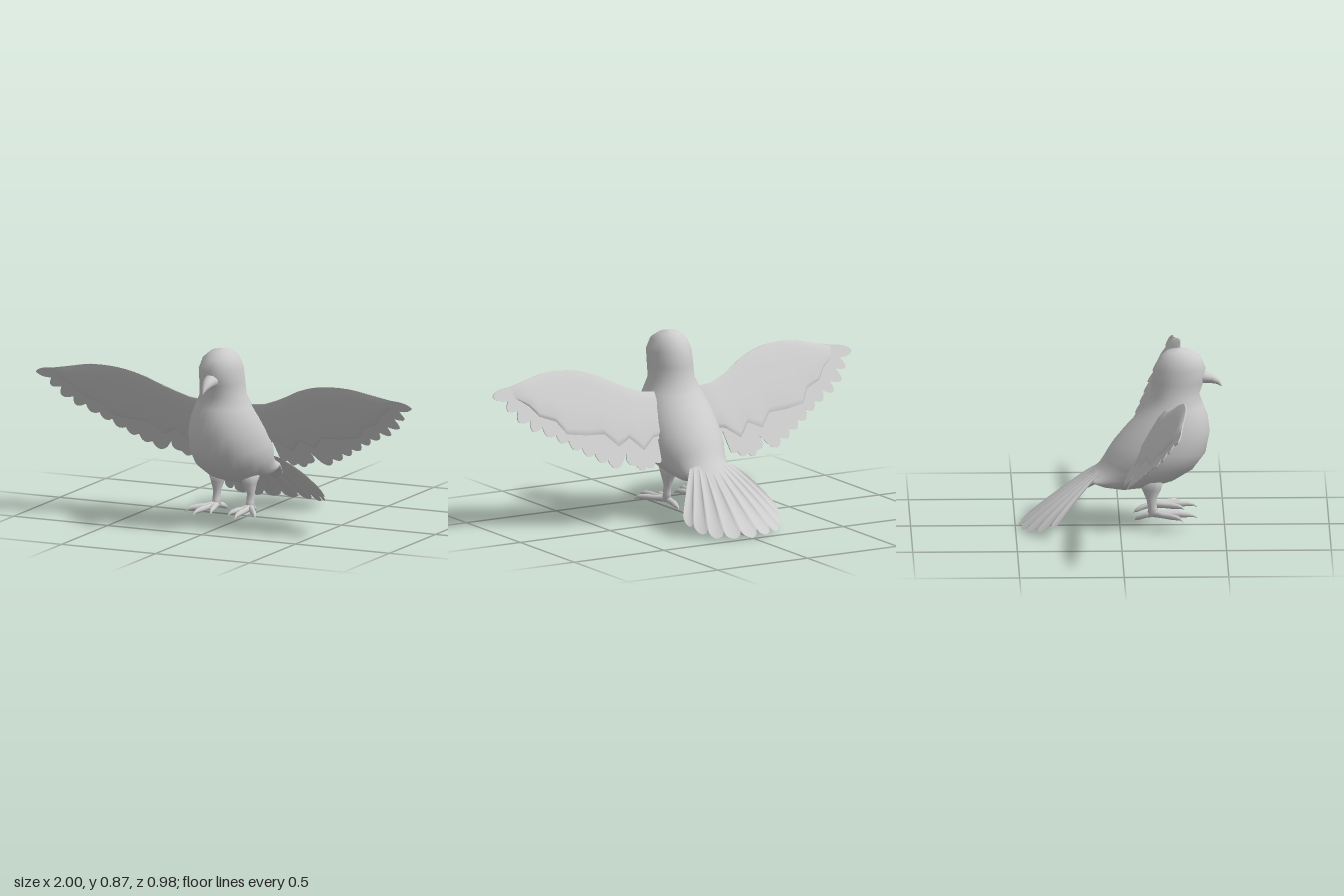
import * as THREE from 'three';

const plumage = new THREE.MeshStandardMaterial({ color: 0xcccccc, side: THREE.DoubleSide });
plumage.name = 'plain grey';

// Skin closed rings of [x, y, z] points, with a fan over each end
function loft(rings) {
  const n = rings[0].length, pos = rings.flat(2), index = [];
  for (let i = 0; i < rings.length - 1; i++) {
    for (let j = 0; j < n; j++) {
      const a = i * n + j, b = i * n + (j + 1) % n;
      index.push(a, b, a + n, b, b + n, a + n);
    }
  }
  [0, rings.length - 1].forEach((r, end) => {
    const c = pos.length / 3;
    for (let k = 0; k < 3; k++) pos.push(rings[r].reduce((s, p) => s + p[k], 0) / n);
    for (let j = 0; j < n; j++) {
      const a = r * n + j, b = r * n + (j + 1) % n;
      index.push(...(end ? [a, b, c] : [b, a, c]));
    }
  });
  // turn the faces outward if the rings run the other way
  const v = i => new THREE.Vector3().fromArray(pos, i * 3);
  let volume = 0;
  for (let i = 0; i < index.length; i += 3) volume += v(index[i]).dot(v(index[i + 1]).cross(v(index[i + 2])));
  if (volume < 0) index.reverse();
  return indexed(pos, index);
}

function indexed(pos, index) {
  const g = new THREE.BufferGeometry();
  g.setAttribute('position', new THREE.Float32BufferAttribute(pos, 3));
  g.setIndex(index);
  g.computeVertexNormals();
  return g;
}

const around = (n, fn) => Array.from({ length: n }, (_, j) => fn(Math.cos(j / n * 2 * Math.PI), Math.sin(j / n * 2 * Math.PI)));

// Elliptical rings given by back z, y, front z, y and half width
const profileRings = (list, n) => list.map(([bz, by, fz, fy, w]) => around(n, (c, s) =>
  [w * s, (by + fy) / 2 + c * (fy - by) / 2, (bz + fz) / 2 + c * (fz - bz) / 2]));

// Tapered toe along points [x, y, z, radius]
function toeGeometry(points) {
  const a = points[0], b = points[points.length - 1];
  const len = Math.hypot(b[0] - a[0], b[2] - a[2]);
  const sx = (b[2] - a[2]) / len, sz = -(b[0] - a[0]) / len;
  return loft(points.map(([x, y, z, r]) => around(8, (c, s) => [x + sx * r * c, y + r * s, z + sz * r * c])));
}

// Mirror a geometry to the other side of the body
function mirrored(geometry) {
  const g = geometry.clone().scale(-1, 1, 1);
  const idx = g.index ? Array.from(g.index.array) : Array.from({ length: g.attributes.position.count }, (_, i) => i);
  g.setIndex(idx.reverse());
  g.computeVertexNormals();
  return g;
}

const wingPlane = y => 0.01 + (y - 0.27) * 0.617;

// Thin sheet of flight feathers with a scalloped trailing edge
function flightFeathers() {
  const shape = new THREE.Shape();
  shape.moveTo(0.1, 0.59);
  shape.splineThru([[0.2, 0.61], [0.3, 0.65], [0.4, 0.7], [0.5, 0.733], [0.6, 0.745], [0.7, 0.742],
    [0.8, 0.722], [0.9, 0.702]].map(p => new THREE.Vector2(...p)));
  shape.quadraticCurveTo(0.98, 0.7, 1, 0.67);
  shape.quadraticCurveTo(0.98, 0.64, 0.925, 0.645);
  const notches = [[0.885, 0.6], [0.835, 0.55], [0.78, 0.515], [0.72, 0.475], [0.66, 0.445], [0.6, 0.405],
    [0.54, 0.375], [0.48, 0.34], [0.41, 0.315], [0.37, 0.36], [0.335, 0.3], [0.28, 0.295], [0.23, 0.305], [0.19, 0.33]];
  let [px, py] = [0.925, 0.645];
  notches.forEach(([x, y], i) => {
    const dx = x - px, dy = y - py, k = i < 3 ? 1.1 : i === 9 ? 0 : 0.75;
    shape.quadraticCurveTo((x + px) / 2 - dy * k + (i < 3 ? 0.02 : 0), (y + py) / 2 + dx * k, x, y);
    [px, py] = [x, y];
  });
  shape.lineTo(0.18, 0.4);
  shape.lineTo(0.1, 0.43);
  const g = new THREE.ExtrudeGeometry(shape, { depth: 0.006, bevelEnabled: false, curveSegments: 6 });
  const p = g.attributes.position;
  for (let i = 0; i < p.count; i++) p.setZ(i, p.getZ(i) - 0.003 + wingPlane(p.getY(i)));
  g.computeVertexNormals();
  return g;
}

// Thicker layer over the front of the wing, ending in a jagged edge
function covertLayer() {
  const stations = [[0.1, 0.6, 0.12, 0.42], [0.2, 0.612, 0.2, 0.41], [0.27, 0.638, 0.27, 0.36], [0.33, 0.665, 0.33, 0.42],
    [0.4, 0.7, 0.4, 0.39], [0.47, 0.724, 0.46, 0.45], [0.55, 0.74, 0.56, 0.455], [0.62, 0.745, 0.66, 0.47],
    [0.69, 0.742, 0.7, 0.53], [0.76, 0.73, 0.78, 0.56], [0.83, 0.715, 0.82, 0.61], [0.89, 0.702, 0.88, 0.65]];
  const section = [[0, 0.003], [0.2, 0.013], [0.6, 0.014], [0.92, 0.012], [1, 0.002]];
  const loop = [...section, ...section.map(([t, h]) => [t, -h]).reverse()];
  return loft(stations.map(([lx, ly, cx, cy], i) => loop.map(([t, h]) => {
    const y = ly + (cy - ly) * t, k = i === stations.length - 1 ? 0.3 : 1;
    return [lx + (cx - lx) * t, y - h * k * 0.525, wingPlane(y) + h * k * 0.851];
  })));
}

// Arched fan with nine pleated, round-ended feathers
function tailFan() {
  const half = [[0, -0.475], [0.1, -0.455], [0.18, -0.415], [0.235, -0.345], [0.262, -0.28]];
  const rim = new THREE.CatmullRomCurve3(half.map(([x, z]) => new THREE.Vector3(x, 0, z)));
  const pos = [], index = [], across = 90, along = 8;
  for (let i = 0; i <= across; i++) {
    const u = i / across * 2 - 1, side = Math.sign(u), end = rim.getPoint(Math.abs(u));
    const lobe = Math.sqrt(Math.abs(Math.cos(u * 4.5 * Math.PI)));
    const reach = 0.96 + 0.075 * lobe;
    for (let j = 0; j <= along; j++) {
      const v = j / along;
      const x = 0.115 * u + (side * end.x - 0.115 * u) * v * reach;
      const z = -0.1 + (end.z + 0.1) * v * reach;
      const pleat = 0.016 * (1 - lobe) * Math.sin(v * Math.PI * 0.8);
      pos.push(x, 0.262 + 0.75 * (z + 0.15) - 1.1 * x * x + pleat, z);
      if (i < across && j < along) {
        const a = i * (along + 1) + j, b = a + along + 1;
        index.push(a, b, a + 1, b, b + 1, a + 1);
      }
    }
  }
  return indexed(pos, index);
}

export function createModel() {
  const model = new THREE.Group();
  model.name = 'bird';
  const add = (name, geometry) => {
    const mesh = new THREE.Mesh(geometry, plumage);
    mesh.name = name;
    model.add(mesh);
  };
  const addPair = (name, geometry) => {
    add('left ' + name, geometry);
    add('right ' + name, mirrored(geometry));
  };

  // Head, breast and rump in one smooth skin
  add('body', loft(profileRings([
    [0.28, 0.878, 0.281, 0.878, 0.002], [0.225, 0.867, 0.335, 0.87, 0.05], [0.187, 0.835, 0.385, 0.84, 0.085],
    [0.162, 0.785, 0.41, 0.785, 0.104], [0.15, 0.72, 0.4, 0.715, 0.106], [0.15, 0.65, 0.38, 0.655, 0.112],
    [0.113, 0.59, 0.4, 0.6, 0.138], [0.07, 0.54, 0.42, 0.55, 0.16], [0.02, 0.485, 0.43, 0.47, 0.18],
    [-0.03, 0.425, 0.41, 0.37, 0.19], [-0.06, 0.38, 0.35, 0.29, 0.185], [-0.08, 0.345, 0.26, 0.235, 0.165],
    [-0.1, 0.315, 0.16, 0.205, 0.145], [-0.12, 0.295, 0.03, 0.19, 0.128], [-0.14, 0.275, -0.06, 0.203, 0.118],
    [-0.155, 0.262, -0.11, 0.225, 0.108], [-0.2, 0.228, -0.18, 0.19, 0.09], [-0.26, 0.182, -0.25, 0.165, 0.06],
    [-0.32, 0.136, -0.32, 0.134, 0.01],
  ], 28)));

  // Hooked beak
  add('beak', loft(profileRings([
    [0.36, 0.775, 0.36, 0.7, 0.045], [0.41, 0.768, 0.39, 0.708, 0.036], [0.45, 0.75, 0.43, 0.708, 0.026],
    [0.478, 0.722, 0.46, 0.703, 0.013], [0.49, 0.69, 0.488, 0.69, 0.002],
  ], 14)));

  add('tail', tailFan());
  addPair('flight feathers', flightFeathers());
  addPair('wing coverts', covertLayer());

  // Legs, tapering from the thigh: x, y, z, half width, half depth
  addPair('leg', loft([[0.085, 0.26, 0.14, 0.05, 0.07], [0.085, 0.205, 0.15, 0.032, 0.045], [0.09, 0.155, 0.148, 0.018, 0.022],
    [0.09, 0.115, 0.155, 0.018, 0.022], [0.09, 0.08, 0.16, 0.022, 0.03]].map(([x, y, z, rx, rz]) =>
    around(12, (c, s) => [x + rx * c, y, z + rz * s]))));

  // Three toes forward and one back, each ending in a claw
  const toes = { 'inner toe': [0.045, 0.31], 'middle toe': [0.11, 0.37], 'outer toe': [0.185, 0.3], 'hind toe': [0.075, 0.068] };
  for (const [name, [x, z]] of Object.entries(toes)) {
    const drop = name === 'hind toe' ? 0.02 : 0;
    const at = (t, y, r) => [0.09 + (x - 0.09) * t, y, 0.155 + (z - 0.155) * t, r];
    addPair(name, toeGeometry([at(0, 0.088, 0.018), at(0.35, 0.085 - drop * 0.3, 0.014), at(0.6, 0.085 - drop * 0.6, 0.015),
      at(0.8, 0.084 - drop, 0.012), at(0.92, 0.08 - drop, 0.007), at(1, 0.069 - drop, 0.002)]));
  }
  return model;
}
